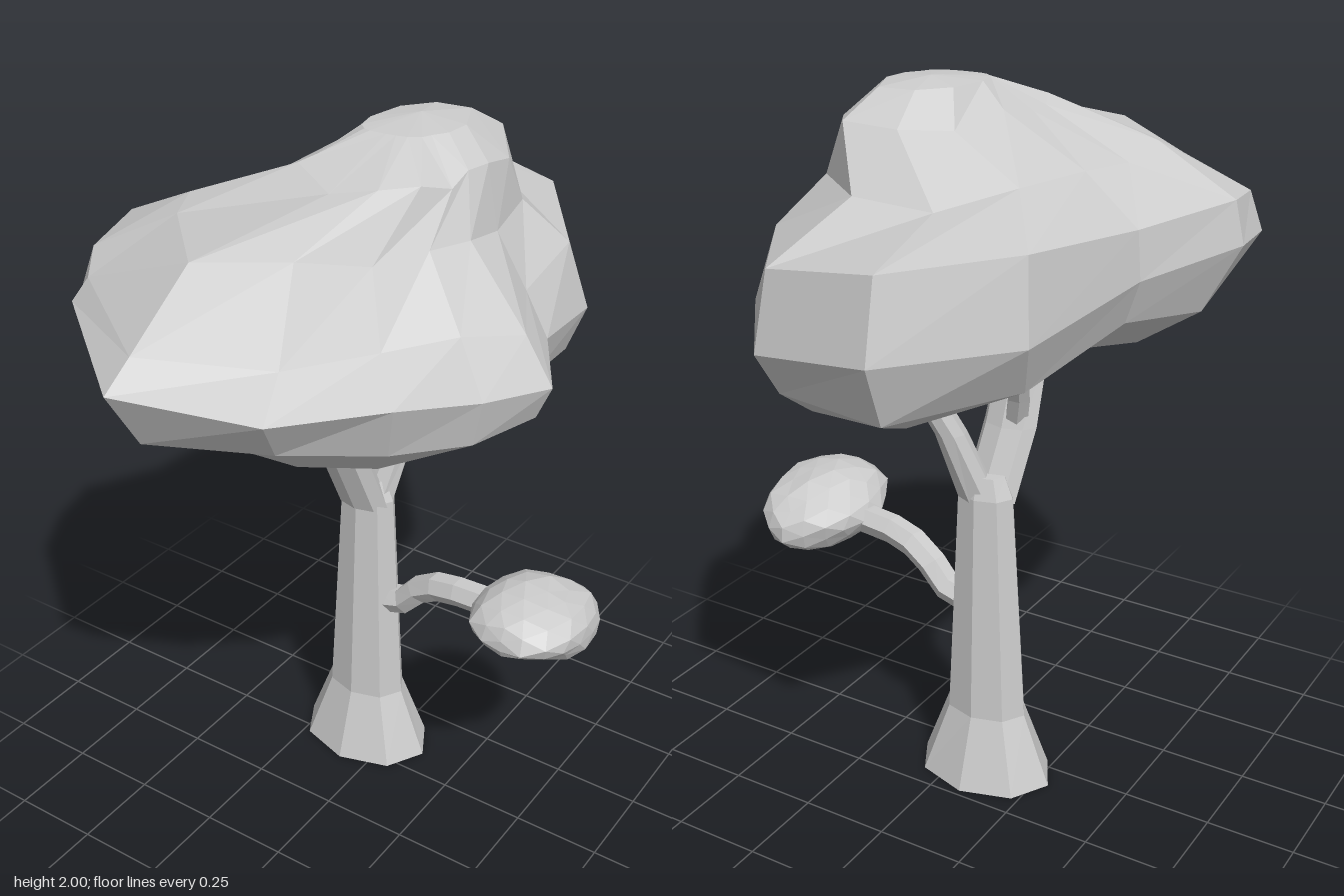
import * as THREE from 'three';

const material = new THREE.MeshStandardMaterial({ color: 0xcccccc, flatShading: true });

function addMesh(parent, name, geometry) {
  const flat = geometry.index ? geometry.toNonIndexed() : geometry;
  flat.computeVertexNormals();
  const mesh = new THREE.Mesh(flat, material);
  mesh.name = name;
  parent.add(mesh);
}

// Skin a stack of rings (lists of Vector3, bottom to top), closed by a point at each end
function loft(rings, bottom, top) {
  const n = rings[0].length;
  const points = [...rings.flat(), bottom, top];
  const low = points.length - 2, high = points.length - 1, last = (rings.length - 1) * n;
  const index = [];
  for (let k = 0; k < n; k++) {
    const next = (k + 1) % n;
    index.push(low, k, next, high, last + next, last + k);
    for (let i = 0; i < rings.length - 1; i++) {
      const a = i * n + k, b = i * n + next;
      index.push(a, a + n, b, b, a + n, b + n);
    }
  }
  const geometry = new THREE.BufferGeometry().setFromPoints(points);
  geometry.setIndex(index);
  return geometry;
}

// Upright limb from stations [y, centre x, centre z, radius x, radius z]
function limb(stations, sides) {
  const rings = stations.map(([y, cx, cz, rx, rz]) =>
    Array.from({ length: sides }, (_, k) => {
      const a = (k / sides) * Math.PI * 2;
      return new THREE.Vector3(cx + rx * Math.cos(a), y, cz + rz * Math.sin(a));
    }));
  const end = ([y, x, z]) => new THREE.Vector3(x, y, z);
  return loft(rings, end(stations[0]), end(stations[stations.length - 1]));
}

// Canopy corner directions in degrees from +x towards +z
const corners = [4, 22, 45, 70, 96, 130, 142, 160, 193, 236, 262, 287, 319, 344];

// Canopy layers: height, slope along x and z, lift of the groove underneath, centre, radius per corner
const canopyLayers = [
  { y: 1.275, slope: [-0.06, 0], lift: 0.06, c: [-0.1, 0],
    r: [0.40, 0.42, 0.45, 0.46, 0.47, 0.42, 0.38, 0.34, 0.27, 0.42, 0.62, 0.64, 0.52, 0.40] },
  { y: 1.37, slope: [-0.07, 0.05], lift: 0.03, c: [-0.1, 0],
    r: [0.60, 0.56, 0.57, 0.63, 0.73, 0.60, 0.56, 0.50, 0.39, 0.57, 0.75, 0.73, 0.60, 0.51] },
  { y: 1.51, slope: [-0.09, 0.05], lift: 0, c: [-0.1, 0],
    r: [0.642, 0.593, 0.622, 0.712, 0.825, 0.695, 0.668, 0.595, 0.432, 0.654, 0.82, 0.794, 0.652, 0.541] },
  { y: 1.64, slope: [-0.1, -0.05], lift: 0, c: [-0.1, 0],
    r: [0.56, 0.50, 0.48, 0.58, 0.74, 0.65, 0.63, 0.57, 0.42, 0.62, 0.77, 0.75, 0.59, 0.48] },
  { y: 1.78, slope: [-0.04, 0.03], lift: 0, c: [-0.1, 0],
    r: [0.39, 0.37, 0.38, 0.44, 0.54, 0.42, 0.38, 0.30, 0.25, 0.34, 0.46, 0.50, 0.46, 0.40] },
  { y: 1.91, slope: [0, 0], lift: 0, c: [0.04, -0.05],
    r: [0.20, 0.21, 0.22, 0.24, 0.27, 0.26, 0.24, 0.21, 0.18, 0.24, 0.31, 0.34, 0.27, 0.22] },
  { y: 1.985, slope: [0, 0], lift: 0, c: [0.04, -0.05],
    r: [0.09, 0.085, 0.07, 0.06, 0.06, 0.08, 0.09, 0.10, 0.11, 0.16, 0.21, 0.23, 0.16, 0.12] },
];

function canopyGeometry() {
  const rings = canopyLayers.map(({ y, slope, lift, c, r }, i) =>
    r.map((radius, k) => {
      const a = THREE.MathUtils.degToRad(corners[k]);
      const x = c[0] + radius * Math.cos(a), z = c[1] + radius * Math.sin(a);
      const groove = lift * Math.exp(-(((z + 0.18) / 0.25) ** 2));
      // Small ripple makes the facets irregular
      const ripple = i > 0 && i < 6 ? 0.015 * Math.sin(k * 2.3 + i * 1.7) : 0;
      return new THREE.Vector3(x, y + slope[0] * x + slope[1] * z + groove + ripple, z);
    }));
  return loft(rings, new THREE.Vector3(-0.05, 1.33, -0.18), new THREE.Vector3(0.04, 2, -0.14));
}

// Small leaf cluster: a faceted ball, flattened, tilted and thinned under its front
function clusterGeometry() {
  const geometry = new THREE.IcosahedronGeometry(1, 2);
  const p = geometry.attributes.position;
  for (let i = 0; i < p.count; i++) {
    const x = p.getX(i), y = p.getY(i), z = p.getZ(i);
    const s = 1 + 0.06 * Math.sin(5 * x + 2 * z) * Math.cos(4 * y + 3 * z);
    const thin = y < 0 ? 1 - 0.6 * Math.max(0, z) : 1;
    p.setXYZ(i, 0.49 + 0.168 * x * s, 0.695 + 0.108 * y * s * thin + 0.022 * z, -0.045 + 0.205 * z * s);
  }
  return geometry;
}

export function createModel() {
  const tree = new THREE.Group();
  tree.name = 'tree';

  // Flared trunk
  addMesh(tree, 'trunk', limb([
    [0, -0.085, -0.08, 0.205, 0.152],
    [0.21, -0.085, -0.08, 0.124, 0.087],
    [0.88, -0.08, -0.08, 0.085, 0.062],
    [0.94, -0.08, -0.08, 0.06, 0.045],
  ], 8));

  // Forked branches holding the canopy
  addMesh(tree, 'frontBranch', limb([
    [0.86, -0.083, -0.065, 0.08, 0.05],
    [1.06, -0.105, 0.01, 0.08, 0.05],
    [1.3, -0.115, 0.08, 0.07, 0.05],
    [1.45, -0.115, 0.12, 0.06, 0.04],
  ], 8));
  addMesh(tree, 'backBranch', limb([
    [0.86, -0.065, -0.085, 0.06, 0.05],
    [1.07, -0.015, -0.15, 0.042, 0.046],
    [1.3, 0.075, -0.235, 0.036, 0.046],
    [1.45, 0.12, -0.28, 0.034, 0.04],
  ], 8));
  addMesh(tree, 'sideFork', limb([
    [1.05, -0.12, 0.01, 0.035, 0.032],
    [1.15, -0.15, -0.025, 0.033, 0.032],
    [1.3, -0.185, -0.1, 0.03, 0.032],
    [1.42, -0.21, -0.15, 0.03, 0.03],
  ], 6));

  // Low side branch, its far end buried in the leaf cluster
  const path = new THREE.CatmullRomCurve3([
    [-0.03, 0.535, -0.08], [0.05, 0.56, -0.08], [0.12, 0.635, -0.075],
    [0.22, 0.672, -0.06], [0.4, 0.685, -0.05],
  ].map((p) => new THREE.Vector3(...p)));
  addMesh(tree, 'sideBranch', new THREE.TubeGeometry(path, 6, 0.042, 6));

  // Foliage
  addMesh(tree, 'leafCluster', clusterGeometry());
  addMesh(tree, 'canopy', canopyGeometry());
  return tree;
}
